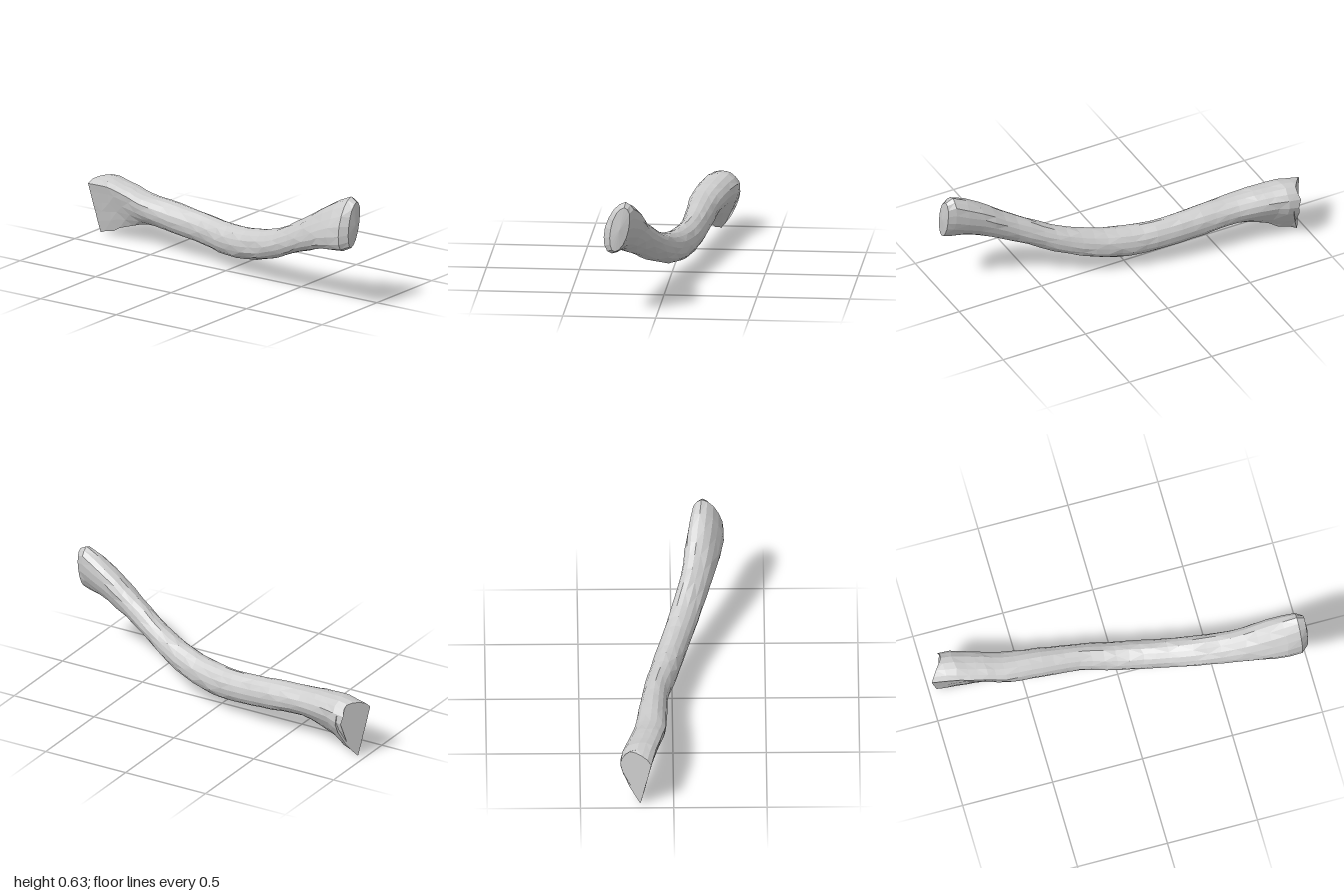
import * as THREE from 'three';

const SIDES = 16;

// Cross-sections front to back: z, xMin, xMax, yMin, yMax, lean, wedge amount
const SECTIONS = [
  [0.99, -0.25, -0.14, 0.36, 0.605, 0.45, 0],
  [0.95, -0.286, -0.12, 0.34, 0.625, 0.45, 0],
  [0.8, -0.27, -0.085, 0.32, 0.55, 0.35, 0],
  [0.6, -0.21, -0.05, 0.25, 0.43, 0.2, 0],
  [0.4, -0.145, 0.015, 0.165, 0.325, 0.1, 0],
  [0.2, -0.08, 0.075, 0.1, 0.27, 0, 0],
  [0, -0.03, 0.125, 0.075, 0.25, 0, 0],
  [-0.2, 0.02, 0.16, 0.09, 0.26, 0, 0],
  [-0.4, 0.03, 0.185, 0.11, 0.28, 0, 0],
  [-0.6, 0.035, 0.21, 0.125, 0.295, 0, 0.3],
  [-0.7, 0.055, 0.235, 0.095, 0.31, 0, 0.75],
  [-0.8, 0.075, 0.26, 0.06, 0.32, 0, 1],
  [-0.86, 0.09, 0.28, 0.03, 0.33, 0, 1],
  [-0.98, 0.12, 0.286, 0, 0.32, 0, 1],
];

// Rear wedge outline within its bounds, counter-clockwise from the +x side
const WEDGE = [
  [1, 0.3], [0.95, 0.6], [0.72, 0.8], [0.4, 0.95], [0, 1], [-0.4, 0.97], [-0.75, 0.9], [-1, 0.75],
  [-0.88, 0.45], [-0.75, 0.1], [-0.6, -0.25], [-0.47, -0.6], [-0.3, -1], [0, -0.8], [0.4, -0.5], [0.85, 0],
];

// Repeatable small unevenness for the surface
const bump = (i, j) => {
  const n = Math.sin(i * 12.99 + j * 78.23) * 43758.55;
  return n - Math.floor(n) - 0.5;
};

function makeRing([z, x0, x1, y0, y1, lean, wedge], i, last) {
  const ring = [];
  for (let j = 0; j < SIDES; j++) {
    const a = (j / SIDES) * Math.PI * 2;
    const c = Math.cos(a), s = Math.sin(a);
    const u = THREE.MathUtils.lerp(c * Math.sqrt(1 - lean * lean) + lean * s, WEDGE[j][0], wedge);
    const v = THREE.MathUtils.lerp(s, WEDGE[j][1], wedge);
    const k = 1 + bump(i, j) * 0.05 * (1 - wedge);
    const x = (x0 + x1) / 2 + ((x1 - x0) / 2) * u * k;
    const y = (y0 + y1) / 2 + ((y1 - y0) / 2) * v * k;
    // the rear end is cut at a slant
    const dz = last ? -1 + (x - 0.12) * 0.72 : z + (i > 1 ? bump(j, i) * 0.015 : 0);
    ring.push(new THREE.Vector3(x, y, dz));
  }
  return ring;
}

function facetedMesh(name, triangles, material) {
  const geometry = new THREE.BufferGeometry().setFromPoints(triangles);
  geometry.computeVertexNormals();
  const mesh = new THREE.Mesh(geometry, material);
  mesh.name = name;
  return mesh;
}

function capTriangles(ring, bulge, rear) {
  const centre = ring.reduce((sum, p) => sum.add(p), new THREE.Vector3()).divideScalar(SIDES);
  centre.z += bulge;
  return ring.flatMap((p, j) => {
    const q = ring[(j + 1) % SIDES];
    return rear ? [centre, q, p] : [centre, p, q];
  });
}

export function createModel() {
  const group = new THREE.Group();
  group.name = 'curvedShaft';
  const grey = new THREE.MeshStandardMaterial({ color: 0xcccccc });
  grey.name = 'light grey';

  // Subdivide the long spans smoothly
  const rows = [];
  for (let i = 0; i < SECTIONS.length - 1; i++) {
    const at = (n) => SECTIONS[THREE.MathUtils.clamp(n, 0, SECTIONS.length - 1)];
    const [p, a, b, q] = [at(i - 1), at(i), at(i + 1), at(i + 2)];
    const steps = Math.max(1, Math.round((a[0] - b[0]) / 0.065));
    for (let s = 0; s < steps; s++) {
      const t = s / steps;
      rows.push(a.map((av, k) => {
        if (k === 0 || k > 4) return THREE.MathUtils.lerp(av, b[k], t);
        const m0 = ((b[k] - p[k]) / (b[0] - p[0])) * (b[0] - a[0]);
        const m1 = ((q[k] - av) / (q[0] - a[0])) * (b[0] - a[0]);
        const t2 = t * t, t3 = t2 * t;
        return (2 * t3 - 3 * t2 + 1) * av + (t3 - 2 * t2 + t) * m0 + (3 * t2 - 2 * t3) * b[k] + (t3 - t2) * m1;
      }));
    }
  }
  rows.push(SECTIONS[SECTIONS.length - 1]);
  const rings = rows.map((row, i) => makeRing(row, i, i === rows.length - 1));

  // Shaft skin, with alternating diagonals
  const skin = [];
  for (let i = 0; i < rings.length - 1; i++) {
    for (let j = 0; j < SIDES; j++) {
      const n = (j + 1) % SIDES;
      const a = rings[i][j], b = rings[i + 1][j], c = rings[i + 1][n], d = rings[i][n];
      if ((i + j) % 2) skin.push(a, b, d, b, c, d);
      else skin.push(a, b, c, a, c, d);
    }
  }
  group.add(facetedMesh('shaft', skin, grey));

  // Blunt front end and slanted rear end
  group.add(facetedMesh('frontEnd', capTriangles(rings[0], 0.01, false), grey));
  group.add(facetedMesh('rearEnd', capTriangles(rings[rings.length - 1], 0, true), grey));
  return group;
}
